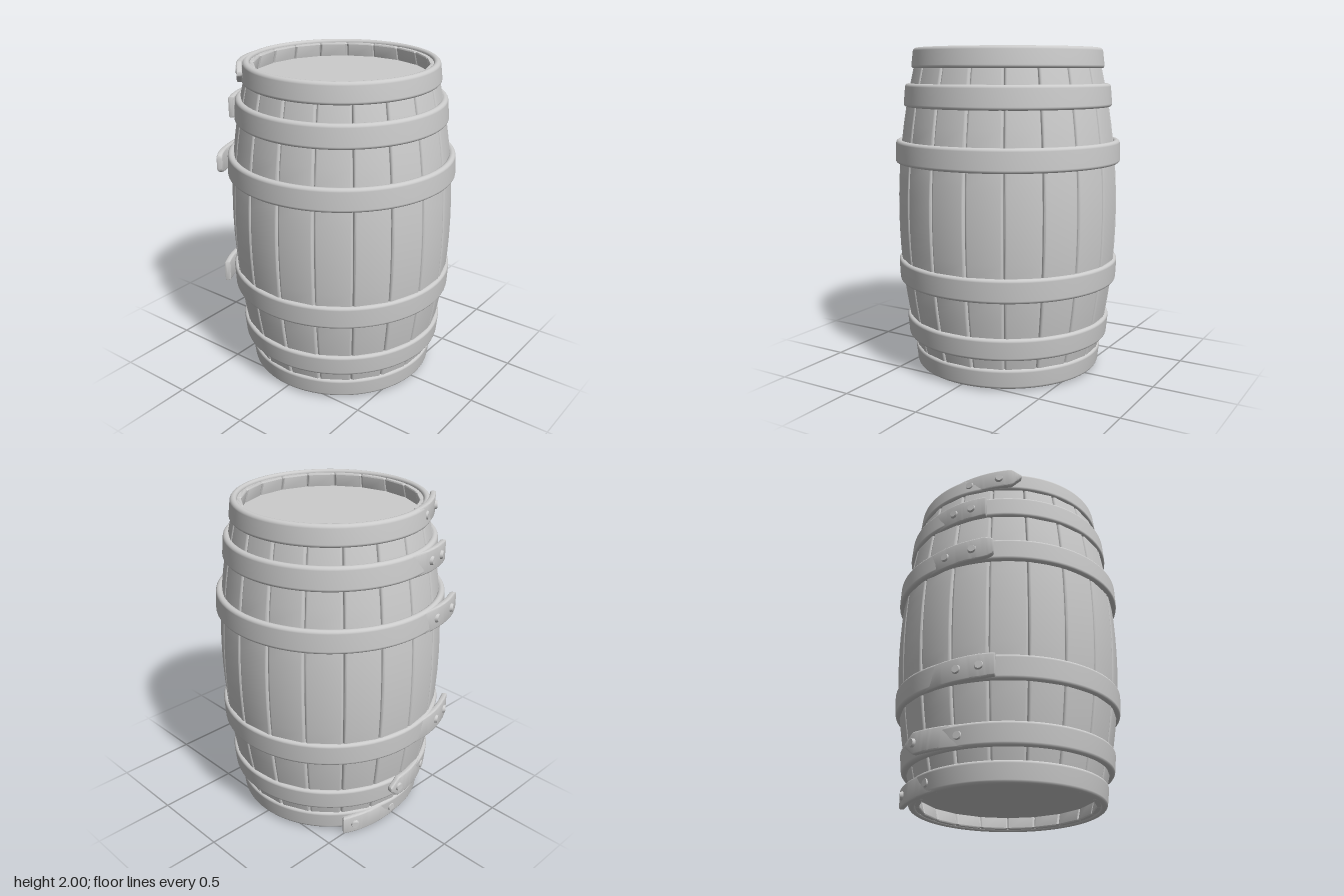
import * as THREE from 'three';
import { toCreasedNormals } from 'three/addons/utils/BufferGeometryUtils.js';

const material = new THREE.MeshStandardMaterial({ color: 0xcccccc });
const DEG = Math.PI / 180;

// Outer radius of the barrel wall at height y
const wallRadius = (y) => 0.68 - 0.128 * ((y - 1) / 0.97) ** 2;

// Point at angle a (from the back towards -x), radius r, height y
const polar = (a, r, y) => new THREE.Vector3(-r * Math.sin(a), y, -r * Math.cos(a));

// Rounded rectangle, counter-clockwise, as [u, v] pairs
function roundRect(u0, u1, v0, v1, r, steps = 3) {
  const corners = [[u1 - r, v0 + r, -90], [u1 - r, v1 - r, 0], [u0 + r, v1 - r, 90], [u0 + r, v0 + r, 180]];
  const pts = [];
  for (const [u, v, start] of corners) {
    for (let i = 0; i <= steps; i++) {
      const a = (start + (90 * i) / steps) * DEG;
      pts.push([u + r * Math.cos(a), v + r * Math.sin(a)]);
    }
  }
  return pts;
}

// Solid skinned over a row of equal rings, capped at both ends
function loft(rings, crease = 0.7) {
  const n = rings[0].length, last = rings.length - 1;
  const pts = rings.flat();
  const index = [];
  for (let i = 0; i < last; i++) {
    for (let j = 0; j < n; j++) {
      const a = i * n + j, b = i * n + ((j + 1) % n);
      index.push(a, b, a + n, b, b + n, a + n);
    }
  }
  for (let j = 1; j < n - 1; j++) {
    index.push(0, j + 1, j, last * n, last * n + j, last * n + j + 1);
  }
  // Turn faces outwards when the enclosed volume is negative
  let volume = 0;
  const c = new THREE.Vector3();
  for (let i = 0; i < index.length; i += 3) {
    volume += pts[index[i]].dot(c.crossVectors(pts[index[i + 1]], pts[index[i + 2]]));
  }
  if (volume < 0) index.reverse();
  const g = new THREE.BufferGeometry().setFromPoints(pts);
  g.setIndex(index);
  return toCreasedNormals(g, crease);
}

function add(parent, name, geometry) {
  const mesh = new THREE.Mesh(geometry, material);
  mesh.name = name;
  parent.add(mesh);
  return mesh;
}

// Bowed plank with rounded edges, facing the front
function staveGeometry(count) {
  const rings = [];
  const levels = 20;
  for (let i = 0; i <= levels; i++) {
    // small inset at both ends rounds the plank tips
    const end = i === 0 || i === levels ? 0.006 : 0;
    const y = i === 0 ? 0.025 : i === levels ? 1.975 : 0.033 + (1.934 * (i - 1)) / (levels - 2);
    const r = wallRadius(y) * 0.998;
    const half = r * Math.tan(Math.PI / count) - 0.004 - end;
    rings.push(roundRect(-half, half, r - 0.042 + end, r - end, 0.014)
      .map(([u, v]) => new THREE.Vector3(u, y, v)));
  }
  return loft(rings);
}

// Closed ring with a rounded section that leans with the wall
function hoopGeometry(y0, y1, R) {
  const mid = (y0 + y1) / 2;
  const lean = -0.13 * (mid - 1);
  const pts = roundRect(R - 0.042, R, y0, y1, 0.019, 4)
    .map(([u, v]) => new THREE.Vector2(u + lean * (v - mid), v));
  pts.push(pts[0].clone());
  return new THREE.LatheGeometry(pts, 80);
}

// How much of the strap height is left at distance d (0..1) from its tip
const tipShapes = {
  square: (d) => 0.93 + 0.07 * d,
  round: (d) => 0.55 + 0.45 * Math.sqrt(1 - (1 - d) ** 2),
  point: (d) => 0.2 + 0.8 * d,
};

export function createModel() {
  const barrel = new THREE.Group();
  barrel.name = 'barrel';

  // Wooden wall
  const staves = new THREE.Group();
  staves.name = 'staves';
  barrel.add(staves);
  const count = 19;
  const stave = staveGeometry(count);
  for (let i = 0; i < count; i++) {
    add(staves, 'stave', stave).rotation.y = (i * 2 * Math.PI) / count;
  }

  // Recessed ends
  add(barrel, 'topLid', new THREE.CylinderGeometry(0.55, 0.55, 0.03, 64)).position.y = 1.875;
  add(barrel, 'bottomLid', new THREE.CylinderGeometry(0.55, 0.55, 0.03, 64)).position.y = 0.115;

  // Hoops: height range, radius, tail end angle, direction, lift, tilt, tip, rivet angles
  const hoops = [
    [1.87, 1.993, 0.587, 55, 1, 0.04, 0.01, 'point', [23, 42]],
    [1.64, 1.78, 0.638, 36, 1, 0.045, -0.02, 'square', [17, 28]],
    [1.3, 1.44, 0.697, 41, 1, 0.07, -0.02, 'round', [16, 31]],
    [0.56, 0.705, 0.687, 42, 1, 0.07, -0.015, 'square', [24, 35]],
    [0.205, 0.34, 0.638, -11, -1, 0.04, 0.02, 'point', [22, -5]],
    [0.015, 0.14, 0.587, -37, -1, 0.045, -0.014, 'square', [-3, -30]],
  ];
  const span = 42;
  for (const [y0, y1, R, end, dir, lift, tilt, tip, rivets] of hoops) {
    const hoop = new THREE.Group();
    hoop.name = 'hoop';
    barrel.add(hoop);
    add(hoop, 'hoopBand', hoopGeometry(y0, y1, R));

    // Overlapping tail that peels away from the band
    const mid = (y0 + y1) / 2, halfHeight = (y1 - y0) / 2 - 0.001;
    const outer = (t) => R - 0.012 + (lift + 0.012) * t ** 1.3;
    const rings = [];
    for (let i = 0; i <= 32; i++) {
      const t = 1 - (1 - i / 32) ** 1.5;
      const a = (end - dir * span * (1 - t)) * DEG;
      const d = Math.min(1, (1 - t) / 0.14);
      const h = halfHeight * tipShapes[tip](d);
      const thin = i === 32 ? 0.005 : 0;
      rings.push(roundRect(outer(t) - 0.034 + thin, outer(t) - thin, -h + thin, h - thin, 0.01)
        .map(([u, v]) => polar(a, u, mid + tilt * t + v)));
    }
    add(hoop, 'hoopTail', loft(rings));

    // Rivets through the tail
    for (const angle of rivets) {
      const t = 1 - (dir * (end - angle)) / span;
      const a = angle * DEG;
      const rivet = add(hoop, 'rivet', new THREE.CylinderGeometry(0.022, 0.029, 0.02, 14));
      rivet.position.copy(polar(a, outer(t) + 0.003, mid + tilt * t));
      rivet.quaternion.setFromUnitVectors(new THREE.Vector3(0, 1, 0), polar(a, 1, 0));
    }
  }
  return barrel;
}
